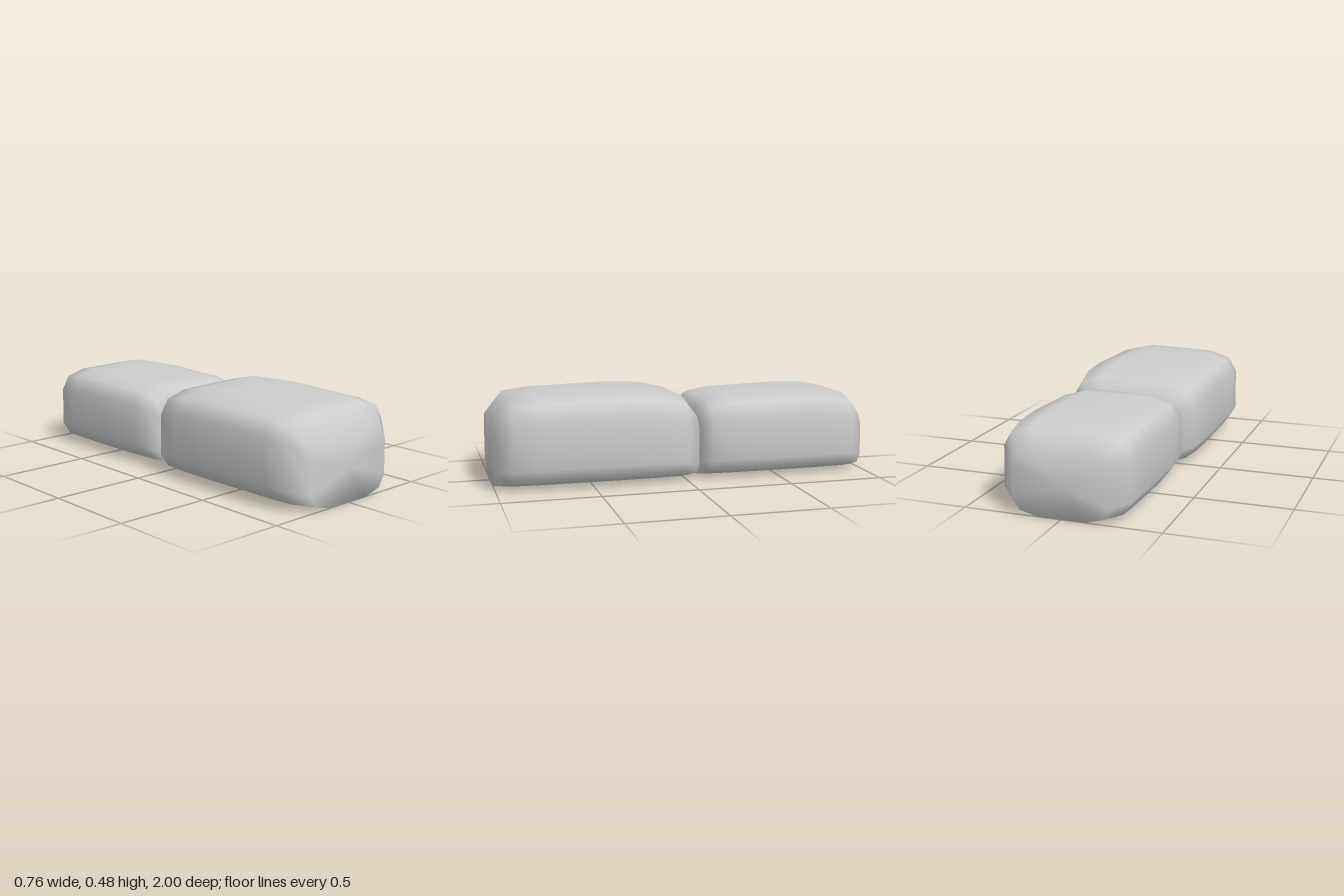
import * as THREE from 'three';

// Half outline of a stone as [x, y] fractions of half width and height, bottom to top
const HALF = [[0.51, 0], [0.86, 0.077], [1, 0.243], [0.985, 0.745], [0.86, 0.915], [0.53, 0.99]];
const OUTLINE = [...HALF, ...HALF.slice().reverse().map(([x, y]) => [-x, y])];

// Loft one stone through stations [z, half width, height], front to back
function makeStone(name, stations, tilt, material) {
  const n = OUTLINE.length;
  const pos = [];
  const index = [];
  for (const [z, w, h] of stations) {
    for (const [x, y] of OUTLINE) pos.push(x * w, y * h * (1 + tilt * x), z);
  }
  for (let s = 0; s < stations.length - 1; s++) {
    for (let i = 0; i < n; i++) {
      const j = (i + 1) % n;
      const a = s * n + i, b = s * n + j, c = a + n, d = b + n;
      index.push(a, c, b, b, c, d);
    }
  }
  // End caps share the rim so the shading flows around the corner
  const last = stations.length - 1;
  const centre = pos.length / 3;
  for (const s of [0, last]) {
    const [z, , h] = stations[s];
    pos.push(0, h * 0.5, z);
  }
  for (let i = 0; i < n; i++) {
    const j = (i + 1) % n;
    index.push(centre, i, j, centre + 1, last * n + j, last * n + i);
  }
  const geometry = new THREE.BufferGeometry();
  geometry.setAttribute('position', new THREE.Float32BufferAttribute(pos, 3));
  geometry.setIndex(index);
  geometry.computeVertexNormals();
  const mesh = new THREE.Mesh(geometry, material);
  mesh.name = name;
  return mesh;
}

export function createModel() {
  const stone = new THREE.MeshStandardMaterial({ color: 0xcccccc });
  stone.name = 'pale grey stone';

  const group = new THREE.Group();
  group.name = 'stonePair';
  group.add(
    makeStone('frontStone', [
      [1, 0.27, 0.35], [0.91, 0.352, 0.452], [0.78, 0.37, 0.47], [0.6, 0.372, 0.474],
      [0.35, 0.379, 0.48], [0.15, 0.373, 0.47], [0.01, 0.352, 0.438], [-0.07, 0.27, 0.345],
    ], 0.02, stone),
    makeStone('backStone', [
      [-0.07, 0.265, 0.345], [-0.13, 0.322, 0.412], [-0.25, 0.336, 0.432], [-0.42, 0.344, 0.434],
      [-0.62, 0.344, 0.441], [-0.8, 0.337, 0.435], [-0.92, 0.325, 0.413], [-1, 0.245, 0.32],
    ], 0.01, stone),
  );
  return group;
}
